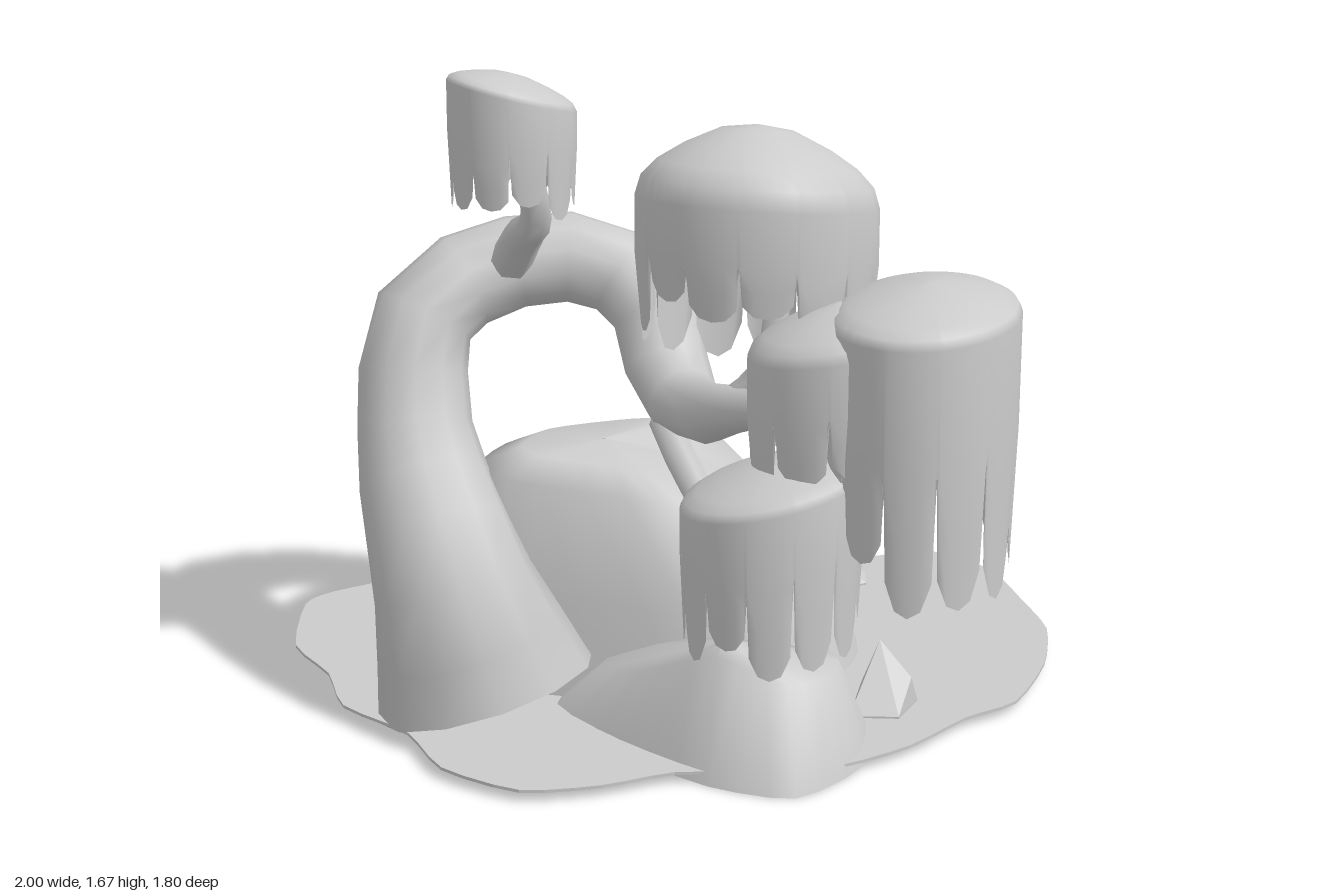
import * as THREE from 'three';
import { ConvexGeometry } from 'three/addons/geometries/ConvexGeometry.js';

const grey = new THREE.MeshStandardMaterial({ color: 0xcccccc, side: THREE.DoubleSide });
const facetted = new THREE.MeshStandardMaterial({ color: 0xcccccc, flatShading: true });

function addMesh(parent, name, geometry, material = grey) {
  const mesh = new THREE.Mesh(geometry, material);
  mesh.name = name;
  parent.add(mesh);
  return mesh;
}

// Grid of vertices closed around each row
function gridGeometry(rows) {
  const n = rows[0].length, pos = rows.flat(2), index = [];
  for (let j = 0; j < rows.length - 1; j++) {
    for (let i = 0; i < n; i++) {
      const a = j * n + i, b = j * n + (i + 1) % n;
      index.push(a, b, a + n, b, b + n, a + n);
    }
  }
  const g = new THREE.BufferGeometry();
  g.setAttribute('position', new THREE.Float32BufferAttribute(pos, 3));
  g.setIndex(index);
  g.computeVertexNormals();
  return g;
}

// Tapered limb: points are [x, y, z, radius]
function limb(points, segments, sides) {
  const curve = new THREE.CatmullRomCurve3(points.map(p => new THREE.Vector3(p[0], p[1], p[2])));
  const g = new THREE.TubeGeometry(curve, segments, 1, sides);
  const pos = g.attributes.position, v = new THREE.Vector3();
  for (let i = 0; i < pos.count; i++) {
    const u = Math.floor(i / (sides + 1)) / segments;
    const t = curve.getUtoTmapping(u) * (points.length - 1);
    const k = Math.min(Math.floor(t), points.length - 2);
    const r = THREE.MathUtils.lerp(points[k][3], points[k + 1][3], t - k);
    const c = curve.getPointAt(u);
    v.fromBufferAttribute(pos, i).sub(c).multiplyScalar(r).add(c);
    pos.setXYZ(i, v.x, Math.max(v.y, 0.01), v.z);
  }
  return g;
}

// Domed leaf cluster whose rim hangs down in rounded strands
function foliage({ at, r, top, drop, tilt, notch, end, endTilt, strands, seed }) {
  const rand = i => { const s = Math.sin(i * 12.9898 + seed * 78.233) * 43758.5453; return s - Math.floor(s); };
  const columns = [];
  const shape = [[0, 0], [0.05, 0.75], [0.25, 0.95], [0.5, 1], [0.75, 0.95], [0.95, 0.75]];
  for (let s = 0; s < strands; s++) {
    for (const [t, d] of shape) columns.push({ a: (s + t) / strands * Math.PI * 2, d, s });
  }
  const place = (c, f, y) => [at[0] + Math.cos(c.a) * r[0] * f, y, at[1] + Math.sin(c.a) * r[1] * f];
  const dome = [[0.001, 0], [0.3, 0.08], [0.6, 0.35], [0.82, 0.62], [0.95, 0.88], [1, 1.2]];
  const lean = (c, f) => f * (tilt[0] * Math.cos(c.a) + tilt[1] * Math.sin(c.a));
  const rows = dome.map(([f, h]) => columns.map(c => place(c, f, top - drop * h + lean(c, f))));
  for (const k of [0, 0.5, 1]) {
    rows.push(columns.map(c => {
      const mid = (c.s + 0.5) / strands * Math.PI * 2;
      const hang = end + endTilt[0] * Math.cos(mid) + endTilt[1] * Math.sin(mid) + (rand(c.s) - 0.5) * 0.5 * (notch - end);
      const edge = notch + lean(c, 0.6) + (rand(c.s + (c.d === 0 ? 40 : 41)) - 0.5) * 0.08;
      return place(c, 1 - 0.05 * k, edge + Math.min(hang - edge, -0.03) * c.d * k);
    }));
  }
  return gridGeometry(rows);
}

// Facetted rock from a footprint and a few upper corners
function rock(base, peaks) {
  const pts = [0.005, 0.04].flatMap(y => base.map(([x, z]) => new THREE.Vector3(x, y, z)));
  return new ConvexGeometry(pts.concat(peaks.map(p => new THREE.Vector3(...p))));
}

// Closed smooth outline at a given height; points are [x, z, height offset]
function outline(y, pts, n) {
  const c = new THREE.CatmullRomCurve3(pts.map(([x, z, dy = 0]) => new THREE.Vector3(x, y + dy, z)), true, 'catmullrom', 0.35);
  return Array.from({ length: n }, (_, i) => c.getPoint(i / n).toArray());
}

// Shrinks outline points and their offsets toward a centre
function shrink(pts, [cx, cz], f) {
  return pts.map(([x, z, dy = 0]) => [cx + (x - cx) * f, cz + (z - cz) * f, dy * f]);
}

export function createModel() {
  const model = new THREE.Group();
  model.name = 'weepingTreeScene';

  // Thin wavy ground patch
  const rim = [[-1, 0], [-0.96, -0.1], [-0.83, -0.25], [-0.79, -0.5], [-0.7, -0.66], [-0.52, -0.71], [-0.35, -0.68],
    [-0.22, -0.8], [-0.05, -0.9], [0.1, -0.9], [0.22, -0.84], [0.31, -0.76], [0.4, -0.78], [0.53, -0.86], [0.72, -0.78],
    [0.85, -0.59], [0.95, -0.42], [0.985, -0.2], [0.96, 0.05], [0.86, 0.18], [0.76, 0.38], [0.62, 0.54], [0.45, 0.63],
    [0.25, 0.69], [0.1, 0.81], [-0.08, 0.89], [-0.3, 0.83], [-0.45, 0.67], [-0.66, 0.57], [-0.77, 0.4], [-0.92, 0.26]];
  const groundShape = new THREE.Shape(outline(0, rim, 93).map(p => new THREE.Vector2(p[0], -p[2])));
  const ground = addMesh(model, 'groundPatch',
    new THREE.ExtrudeGeometry(groundShape, { depth: 0.008, bevelEnabled: false }));
  ground.rotation.x = -Math.PI / 2;
  ground.position.y = 0.027;

  // Arching trunk that dips again to carry the branches
  addMesh(model, 'trunk', limb([
    [-0.32, 0.08, 0.45, 0.285], [-0.41, 0.36, 0.44, 0.2], [-0.565, 0.7, 0.27, 0.145], [-0.57, 0.96, 0.15, 0.13],
    [-0.4, 1.06, 0.01, 0.12], [-0.18, 1.06, -0.07, 0.115], [-0.04, 0.97, -0.06, 0.115], [0.04, 0.81, 0.04, 0.105],
    [0.14, 0.77, 0.17, 0.085], [0.26, 0.83, 0.29, 0.065], [0.38, 0.87, 0.37, 0.045], [0.52, 0.95, 0.4, 0.03]], 18, 12));

  // Branches: [name, points]
  const branches = [
    ['topBranch', [[-0.36, 1.1, 0.1, 0.055], [-0.29, 1.2, 0.2, 0.05], [-0.23, 1.27, 0.28, 0.04], [-0.23, 1.45, 0.34, 0.03]]],
    ['lowerBranch', [[0.05, 0.72, 0.12, 0.04], [0.16, 0.65, 0.28, 0.04], [0.3, 0.56, 0.42, 0.035], [0.44, 0.62, 0.5, 0.03]]],
    ['upperBranch', [[0.26, 0.83, 0.29, 0.045], [0.36, 0.94, 0.3, 0.04], [0.38, 1.15, 0.28, 0.03], [0.34, 1.4, 0.27, 0.025]]],
    ['outerBranch', [[0.36, 0.86, 0.37, 0.04], [0.55, 0.9, 0.4, 0.035], [0.74, 1.08, 0.4, 0.025]]]];
  for (const [name, pts] of branches) addMesh(model, name, limb(pts, 8, 7));

  // Hanging leaf clusters
  const clusters = {
    topFoliage: { at: [-0.26, 0.36], r: [0.155, 0.165], top: 1.655, drop: 0.045, tilt: [-0.03, 0.04],
      notch: 1.47, end: 1.33, endTilt: [0, 0.02], strands: 10, seed: 1 },
    upperFoliage: { at: [0.325, 0.26], r: [0.295, 0.29], top: 1.55, drop: 0.16, tilt: [0, 0.06],
      notch: 1.24, end: 1.01, endTilt: [0.04, 0.15], strands: 13, seed: 2 },
    outerFoliage: { at: [0.775, 0.4], r: [0.225, 0.275], top: 1.24, drop: 0.07, tilt: [0.01, 0],
      notch: 0.88, end: 0.58, endTilt: [-0.04, -0.05], strands: 11, seed: 3 },
    middleFoliage: { at: [0.57, 0.44], r: [0.21, 0.2], top: 1.18, drop: 0.08, tilt: [0.04, 0],
      notch: 0.95, end: 0.78, endTilt: [0, 0], strands: 9, seed: 4 },
    lowerFoliage: { at: [0.44, 0.52], r: [0.22, 0.23], top: 0.8, drop: 0.06, tilt: [0.05, 0],
      notch: 0.58, end: 0.38, endTilt: [0.01, -0.02], strands: 12, seed: 5 } };
  for (const [name, c] of Object.entries(clusters)) addMesh(model, name, foliage(c));

  // Large boulder behind the trunk
  const boulderTop = [[0.07, -0.22, -0.01], [0.25, -0.09, -0.1], [0.2, 0.09, -0.07], [0.08, 0.27, -0.03],
    [-0.3, 0.32], [-0.41, 0.23], [-0.37, 0.02], [-0.08, -0.19]];
  addMesh(model, 'boulder', gridGeometry([
    outline(0.63, shrink(boulderTop, [-0.13, 0.06], 0.01), 32),
    outline(0.63, shrink(boulderTop, [-0.13, 0.06], 0.65), 32),
    outline(0.59, boulderTop, 32),
    outline(0.29, [[0.27, -0.38, -0.02], [0.43, -0.12], [0.4, 0.1], [0.17, 0.31], [-0.34, 0.35], [-0.46, 0.24], [-0.4, 0], [-0.05, -0.22]], 32),
    outline(0.015, [[0.32, -0.51], [0.51, -0.13], [0.46, 0.12], [0.2, 0.31], [-0.37, 0.37], [-0.49, 0.25], [-0.42, 0], [-0.05, -0.24]], 32)]));

  // Rounded rock at the foot of the trunk
  const frontTop = [[-0.03, 0.4, -0.13], [0.12, 0.51, -0.07], [0.32, 0.58, 0.02], [0.5, 0.58, -0.03],
    [0.58, 0.47, -0.04], [0.54, 0.3, -0.06], [0.25, 0.29, -0.06], [0, 0.28, -0.12]];
  addMesh(model, 'frontRock', gridGeometry([
    outline(0.28, shrink(frontTop, [0.3, 0.43], 0.01), 24),
    outline(0.28, frontTop, 24),
    outline(0.003, [[-0.18, 0.4], [0.05, 0.56], [0.33, 0.68], [0.55, 0.68], [0.66, 0.47], [0.6, 0.22], [0.2, 0.2], [-0.12, 0.22]], 24)]));

  // Smaller rocks
  const rocks = {
    backRock: rock([[-0.57, -0.25], [-0.53, -0.48], [-0.47, -0.6], [-0.3, -0.68], [0, -0.57], [-0.3, -0.2], [-0.4, -0.15]],
      [[-0.26, 0.35, -0.5], [-0.42, 0.25, -0.36], [-0.3, 0.19, -0.66], [-0.1, 0.24, -0.54]]),
    cornerRock: rock([[-0.01, -0.62], [0.2, -0.85], [0.28, -0.78], [0.28, -0.6], [0.14, -0.43]],
      [[0.08, 0.2, -0.6], [0.17, 0.14, -0.7], [0.16, 0.15, -0.52]]),
    pebble: rock([[0.31, -0.63], [0.4, -0.64], [0.42, -0.57], [0.37, -0.53], [0.32, -0.57]],
      [[0.35, 0.08, -0.6], [0.38, 0.07, -0.57]]),
    sideRock: rock([[0.56, 0.06], [0.6, 0.03], [0.72, 0.12], [0.7, 0.24], [0.58, 0.27]],
      [[0.62, 0.19, 0.12], [0.71, 0.11, 0.15]]) };
  for (const [name, g] of Object.entries(rocks)) addMesh(model, name, g, facetted);

  return model;
}
